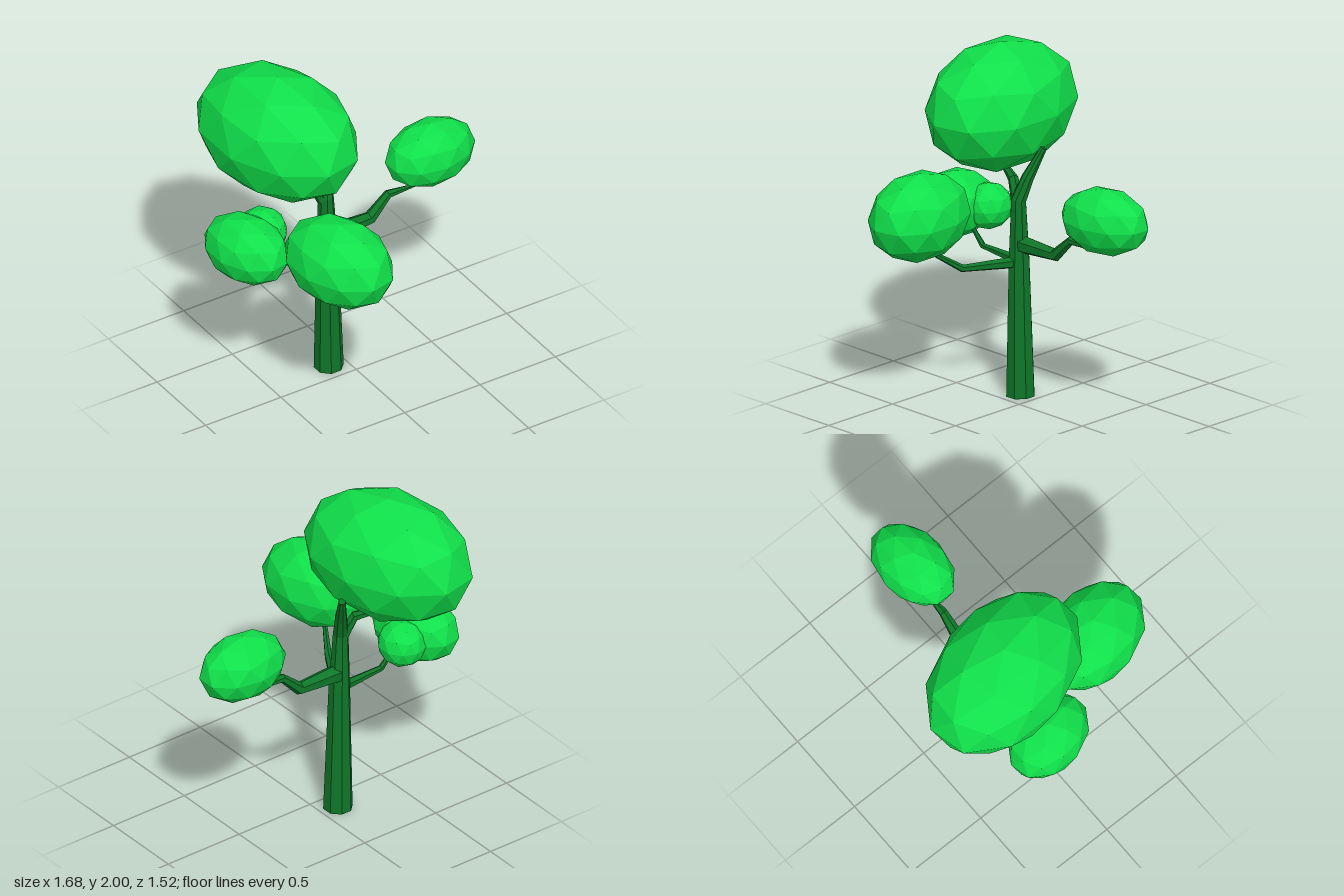
import * as THREE from 'three';

const bark = new THREE.MeshStandardMaterial({ color: 0x0e7628, flatShading: true });
bark.name = 'darkGreenBark';
const leaves = new THREE.MeshStandardMaterial({ color: 0x10e04a, flatShading: true });
leaves.name = 'brightGreenLeaves';

// Tapered limb swept through points [x, y, z, radius]
function limb(name, points, sides) {
  const p = points.map(([x, y, z]) => new THREE.Vector3(x, y, z));
  const last = p.length - 1;
  const overall = p[last].clone().sub(p[0]).normalize();
  const ref = Math.abs(overall.y) > 0.7 ? new THREE.Vector3(0, 0, 1) : new THREE.Vector3(0, 1, 0);
  const pos = [], index = [];
  p.forEach((c, i) => {
    const t = new THREE.Vector3();
    if (i > 0) t.add(c.clone().sub(p[i - 1]).normalize());
    if (i < last) t.add(p[i + 1].clone().sub(c).normalize());
    t.normalize();
    const u = ref.clone().cross(t).normalize();
    const v = t.clone().cross(u);
    for (let j = 0; j < sides; j++) {
      const a = ((j + 0.5) / sides) * Math.PI * 2;
      const q = c.clone()
        .addScaledVector(u, Math.cos(a) * points[i][3])
        .addScaledVector(v, Math.sin(a) * points[i][3]);
      pos.push(q.x, q.y, q.z);
    }
  });
  for (let i = 0; i < last; i++) {
    for (let j = 0; j < sides; j++) {
      const k = (j + 1) % sides;
      const a = i * sides + j, b = i * sides + k;
      index.push(a, b, b + sides, a, b + sides, a + sides);
    }
  }
  // End caps
  const end = last * sides;
  for (let j = 1; j < sides - 1; j++) {
    index.push(0, j + 1, j, end, end + j, end + j + 1);
  }
  let geo = new THREE.BufferGeometry();
  geo.setAttribute('position', new THREE.Float32BufferAttribute(pos, 3));
  geo.setIndex(index);
  geo = geo.toNonIndexed();
  geo.computeVertexNormals();
  const mesh = new THREE.Mesh(geo, bark);
  mesh.name = name;
  return mesh;
}

// Faceted leaf clump with its pole upwards, stretched and slightly skewed
function clump(name, [x, y, z], [rx, ry, rz], skew) {
  const geo = new THREE.IcosahedronGeometry(1, 1);
  geo.rotateZ(-Math.atan(2 / (1 + Math.sqrt(5))));
  geo.scale(rx / 0.951, ry, rz);
  geo.applyMatrix4(new THREE.Matrix4().set(
    1, 0, 0, x,
    0, 1, 0, y,
    skew, 0, 1, z,
    0, 0, 0, 1));
  geo.computeVertexNormals();
  const mesh = new THREE.Mesh(geo, leaves);
  mesh.name = name;
  return mesh;
}

export function createModel() {
  const tree = new THREE.Group();
  tree.name = 'tree';

  // Trunk, forking near the top
  tree.add(
    limb('trunk', [
      [-0.108, 0, -0.115, 0.085],
      [-0.118, 0.8, -0.115, 0.062],
      [-0.125, 1.15, -0.118, 0.045],
      [-0.095, 1.28, -0.16, 0.036],
      [-0.045, 1.45, -0.235, 0.02],
    ], 8),
    limb('upperBranch', [
      [-0.12, 1.1, -0.115, 0.04],
      [-0.2, 1.25, -0.15, 0.03],
      [-0.4, 1.29, -0.25, 0.014],
    ], 6));

  // Side branches
  tree.add(
    limb('leftBranch', [
      [-0.11, 0.895, -0.12, 0.055],
      [0.17, 0.9, -0.12, 0.038],
      [0.29, 1.015, -0.12, 0.026],
      [0.5, 1.01, -0.115, 0.006],
    ], 6),
    limb('frontBranch', [
      [-0.11, 0.79, -0.11, 0.036],
      [-0.27, 0.782, 0.18, 0.022],
      [-0.36, 0.89, 0.33, 0.014],
    ], 6),
    limb('rightBranch', [
      [-0.11, 0.79, -0.12, 0.032],
      [-0.41, 0.805, -0.12, 0.018],
      [-0.49, 0.89, -0.12, 0.012],
    ], 6));

  // Leaf clumps
  tree.add(
    clump('topLeaves', [-0.375, 1.63, -0.23], [0.365, 0.37, 0.53], 0.22),
    clump('frontLeaves', [-0.378, 1.122, 0.41], [0.25, 0.253, 0.35], 0.2),
    clump('leftLeaves', [0.565, 1.202, -0.115], [0.27, 0.193, 0.193], -0.05),
    clump('rightLeaves', [-0.645, 0.995, -0.13], [0.195, 0.195, 0.27], 0.2),
    clump('smallLeaves', [-0.475, 1.0, -0.225], [0.13, 0.135, 0.145], 0));
  return tree;
}
